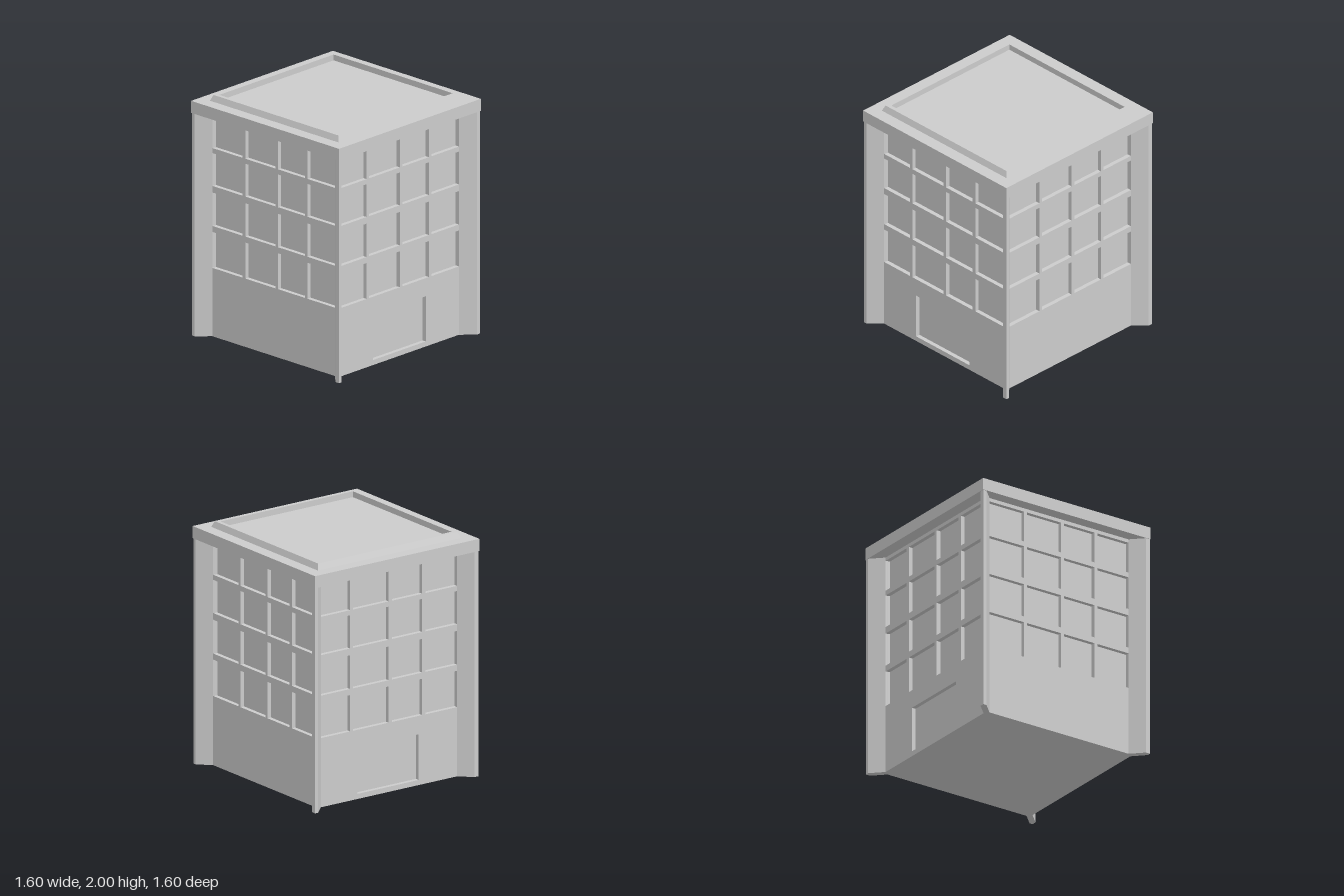
import * as THREE from 'three';

const WALL = 0.70;    // outer wall plane
const RECESS = 0.035; // depth of windows and doors
const EAVES = 1.852;  // underside of the cornice

// window rows (bottom, top) and columns (left, right)
const ROWS = [[0.569, 0.868], [0.918, 1.196], [1.251, 1.524], [1.566, 1.823]];
const FRONT_COLS = [[-0.67, -0.341], [-0.312, 0.013], [0.042, 0.333], [0.362, 0.66]];
const SIDE_COLS = [[-0.67, -0.384], [-0.354, -0.008], [0.024, 0.32], [0.352, 0.66]];
const DOOR = [-0.312, 0.286, 0.042, 0.418];

function rectangle(Type, x0, x1, y0, y1) {
  const path = new Type();
  path.moveTo(x0, y0);
  path.lineTo(x1, y0);
  path.lineTo(x1, y1);
  path.lineTo(x0, y1);
  path.closePath();
  return path;
}

// facade sheet with window openings, its face on the wall plane
function facadeGeometry(columns, hasDoor) {
  const shape = rectangle(THREE.Shape, -0.685, 0.685, 0, EAVES);
  for (const [y0, y1] of ROWS) {
    for (const [x0, x1] of columns) shape.holes.push(rectangle(THREE.Path, x0, x1, y0, y1));
  }
  if (hasDoor) shape.holes.push(rectangle(THREE.Path, ...DOOR));
  const geometry = new THREE.ExtrudeGeometry(shape, { depth: RECESS, bevelEnabled: false });
  return geometry.translate(0, 0, WALL - RECESS);
}

// diagonal corner fin, drawn in plan as (x, z) and extruded upward
function finGeometry() {
  const plan = [[0.66, 0.7], [0.76, 0.798], [0.798, 0.798], [0.798, 0.768], [0.7, 0.67], [0.66, 0.66]];
  const shape = new THREE.Shape(plan.map(([x, z]) => new THREE.Vector2(x, -z)));
  const geometry = new THREE.ExtrudeGeometry(shape, { depth: EAVES, bevelEnabled: false });
  return geometry.rotateX(-Math.PI / 2);
}

// square ring: sloped outside, flat rim, upright inside
function parapetGeometry() {
  const profile = [[0.698, 1.952], [0.678, 2], [0.646, 2], [0.646, 1.952]];
  const points = profile.map(([half, y]) => new THREE.Vector2(half * Math.SQRT2, y));
  return new THREE.LatheGeometry(points, 4).rotateY(Math.PI / 4);
}

export function createModel() {
  const model = new THREE.Group();
  model.name = 'building';
  const material = new THREE.MeshStandardMaterial({ color: 0xcccccc, flatShading: true });

  function add(name, geometry, turn = 0) {
    const mesh = new THREE.Mesh(geometry, material);
    mesh.name = name;
    mesh.rotation.y = turn;
    model.add(mesh);
    return mesh;
  }

  // inner block, seen as window panes and door panels
  const core = 2 * (WALL - RECESS);
  add('core', new THREE.BoxGeometry(core, EAVES, core)).position.y = EAVES / 2;

  // four facades and four fins; doors on the two sides
  const front = facadeGeometry(FRONT_COLS, false);
  const side = facadeGeometry(SIDE_COLS, true);
  const fin = finGeometry();
  const names = ['frontFacade', 'leftFacade', 'backFacade', 'rightFacade'];
  names.forEach((name, i) => {
    const turn = i * Math.PI / 2;
    add(name, i % 2 ? side : front, turn);
    add('cornerFin', fin, turn);
  });

  // roof
  add('cornice', new THREE.BoxGeometry(1.604, 0.1, 1.604)).position.y = 1.902;
  add('parapet', parapetGeometry());

  return model;
}
